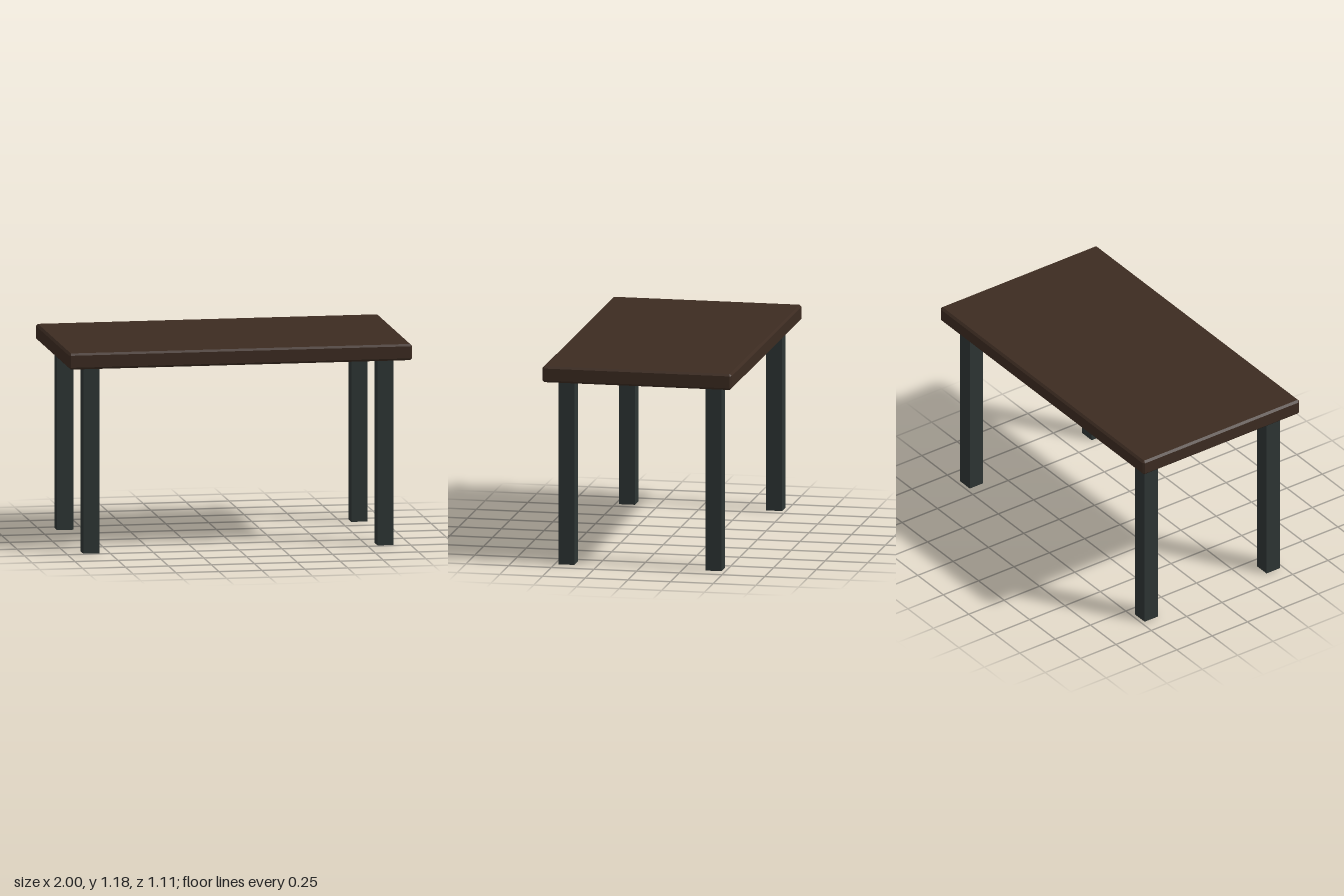
import * as THREE from 'three';
import { ConvexGeometry } from 'three/addons/geometries/ConvexGeometry.js';

// Box with every edge cut by a small flat chamfer
function chamferedBox(w, h, d, c) {
  const points = [];
  for (const sx of [-1, 1]) for (const sy of [-1, 1]) for (const sz of [-1, 1]) {
    const x = w / 2, y = h / 2, z = d / 2;
    points.push(
      new THREE.Vector3(sx * x, sy * (y - c), sz * (z - c)),
      new THREE.Vector3(sx * (x - c), sy * y, sz * (z - c)),
      new THREE.Vector3(sx * (x - c), sy * (y - c), sz * z)
    );
  }
  return new ConvexGeometry(points);
}

export function createModel() {
  const model = new THREE.Group();
  model.name = 'table';

  const wood = new THREE.MeshStandardMaterial({ color: 0x3c2b21 });
  wood.name = 'dark wood';
  const metal = new THREE.MeshStandardMaterial({ color: 0x2d3534 });
  metal.name = 'dark grey metal';

  // Tabletop slab
  const legHeight = 1.082, thickness = 0.094;
  const top = new THREE.Mesh(chamferedBox(2, thickness, 1.11, 0.012), wood);
  top.name = 'tabletop';
  top.position.y = legHeight + thickness / 2;
  model.add(top);

  // Four square legs
  const legGeometry = new THREE.BoxGeometry(0.094, legHeight, 0.094);
  for (const [side, sx] of [['Left', 1], ['Right', -1]]) {
    for (const [end, sz] of [['front', 1], ['back', -1]]) {
      const leg = new THREE.Mesh(legGeometry, metal);
      leg.name = `${end}${side}Leg`;
      leg.position.set(sx * 0.857, legHeight / 2, sz * 0.431);
      model.add(leg);
    }
  }
  return model;
}
